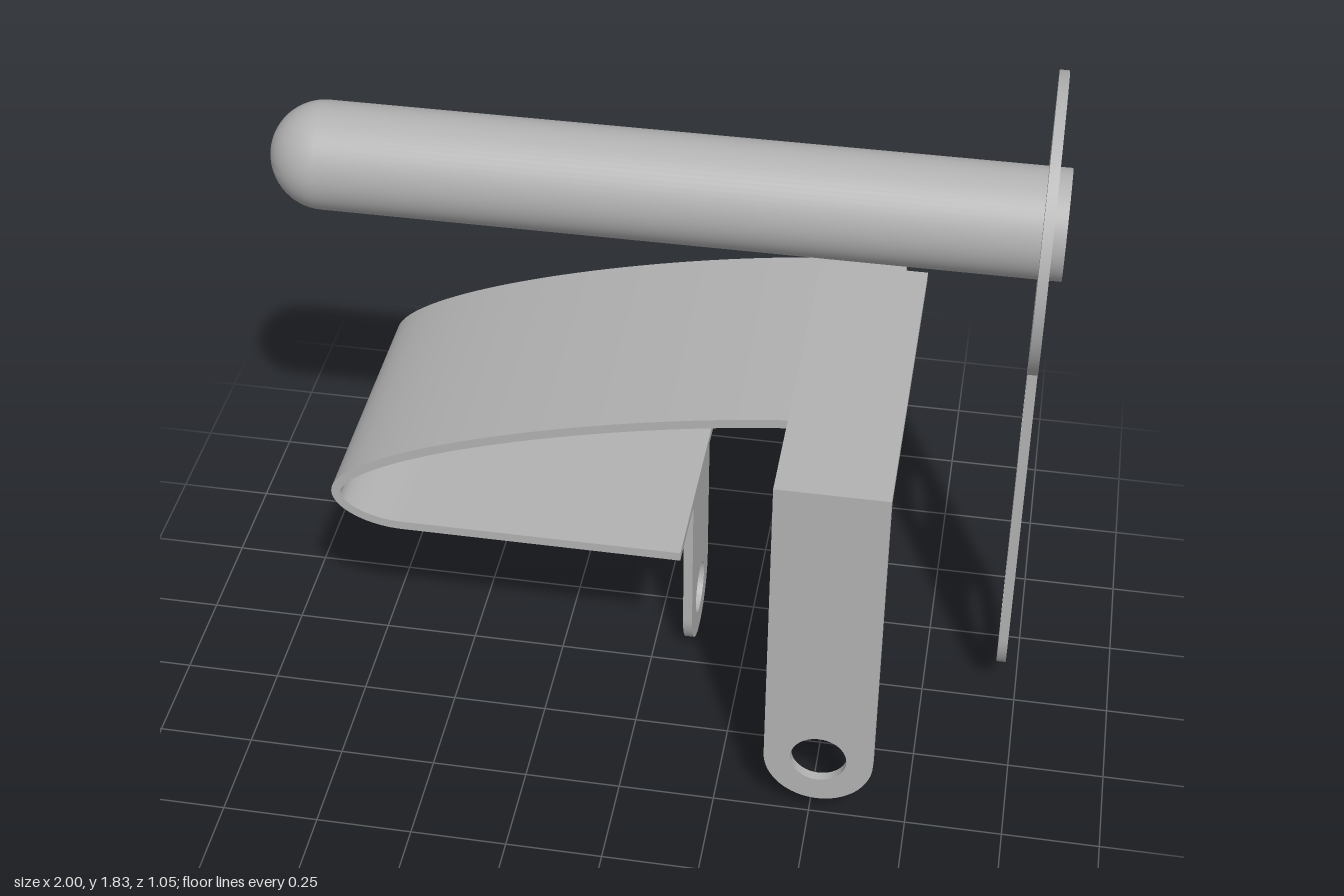
import * as THREE from 'three';
import { toCreasedNormals } from 'three/addons/utils/BufferGeometryUtils.js';

const T = 0.025; // sheet thickness

function extrude(shape, depth) {
  const geo = new THREE.ExtrudeGeometry(shape, { depth, bevelEnabled: false, curveSegments: 40 });
  return toCreasedNormals(geo, 0.5);
}

function addHole(shape, x, y, r) {
  const hole = new THREE.Path();
  hole.absarc(x, y, r, 0, Math.PI * 2, true);
  shape.holes.push(hole);
}

// Straight strap with a rounded, drilled lower end
function strapShape(halfWidth, centreY, topY, holeR) {
  const s = new THREE.Shape();
  s.moveTo(halfWidth, topY);
  s.lineTo(-halfWidth, topY);
  s.lineTo(-halfWidth, centreY);
  s.absarc(0, centreY, halfWidth, Math.PI, Math.PI * 2, false);
  s.closePath();
  addHole(s, 0, centreY, holeR);
  return s;
}

// Side plate: large disc merging into a strap with two holes
function plateShape() {
  const R = 0.372, w = 0.183, cy = 1.455, by = 0.243;
  const a = Math.asin(w / R);
  const s = new THREE.Shape();
  s.absarc(0, cy, R, -Math.PI / 2 + a, Math.PI * 1.5 - a, false);
  s.lineTo(-w, by);
  s.absarc(0, by, w, Math.PI, Math.PI * 2, false);
  s.closePath();
  addHole(s, 0, 0.85, 0.108);
  addHole(s, 0, by, 0.108);
  return s;
}

// Bent sheet profile: outer curve plus its inward offset
function sheetShape() {
  const v = (x, y) => new THREE.Vector2(x, y);
  const upper = new THREE.CubicBezierCurve(v(0.6, 1.055), v(0.1, 1.055), v(-0.812, 0.81), v(-0.812, 0.65));
  const lower = new THREE.CubicBezierCurve(v(-0.812, 0.65), v(-0.812, 0.59), v(-0.72, 0.545), v(-0.63, 0.545));
  const outer = [], inner = [];
  const sample = (curve, n, first) => {
    for (let i = first; i <= n; i++) {
      const p = curve.getPoint(i / n), t = curve.getTangent(i / n);
      outer.push(p);
      inner.push(v(p.x - t.y * T, p.y + t.x * T));
    }
  };
  sample(upper, 40, 0);
  sample(lower, 20, 1);
  outer.push(v(0.11, 0.545));
  inner.push(v(0.11, 0.545 + T));
  return new THREE.Shape([...outer, ...inner.reverse()]);
}

export function createModel() {
  const model = new THREE.Group();
  const metal = new THREE.MeshStandardMaterial({ color: 0xb2b2b2 });
  metal.name = 'grey metal';

  const add = (name, geo, x, y, z, parent = model) => {
    const mesh = new THREE.Mesh(geo, metal);
    mesh.name = name;
    mesh.position.set(x, y, z);
    parent.add(mesh);
    return mesh;
  };

  // Round-ended rod along x
  const r = 0.139, profile = [new THREE.Vector2(0, -1), new THREE.Vector2(r, -1), new THREE.Vector2(r, -1)];
  for (let i = 0; i <= 16; i++) {
    const a = (i / 16) * Math.PI / 2;
    profile.push(new THREE.Vector2(i === 16 ? 0 : r * Math.cos(a), 1 - r + r * Math.sin(a)));
  }
  const rodGeo = toCreasedNormals(new THREE.LatheGeometry(profile, 64), 0.5);
  add('rod', rodGeo, 0, 1.455, -0.155).rotation.z = Math.PI / 2;

  // Side plate, facing +x
  add('sidePlate', extrude(plateShape(), T), 0.967, 0, -0.155).rotation.y = -Math.PI / 2;
  model.getObjectByName('sidePlate').position.x = 0.967;

  // Curved sheet with its hanging tab
  const spring = new THREE.Group();
  spring.name = 'curvedSheet';
  model.add(spring);
  add('bentSheet', extrude(sheetShape(), 0.71), 0, 0, -0.51, spring);
  add('sheetTab', extrude(strapShape(0.14, 0.142, 0.555, 0.072), T), 0.11, 0, -0.155, spring)
    .rotation.y = -Math.PI / 2;

  // Right-angle bracket
  const bracket = new THREE.Group();
  bracket.name = 'angleBracket';
  model.add(bracket);
  add('bracketLeg', extrude(strapShape(0.14, 0.213, 1.087, 0.072), T), 0.52, 0, 0.497, bracket);
  add('bracketTop', new THREE.BoxGeometry(0.28, T, 0.92), 0.52, 1.087 - T / 2, 0.037, bracket);

  return model;
}
